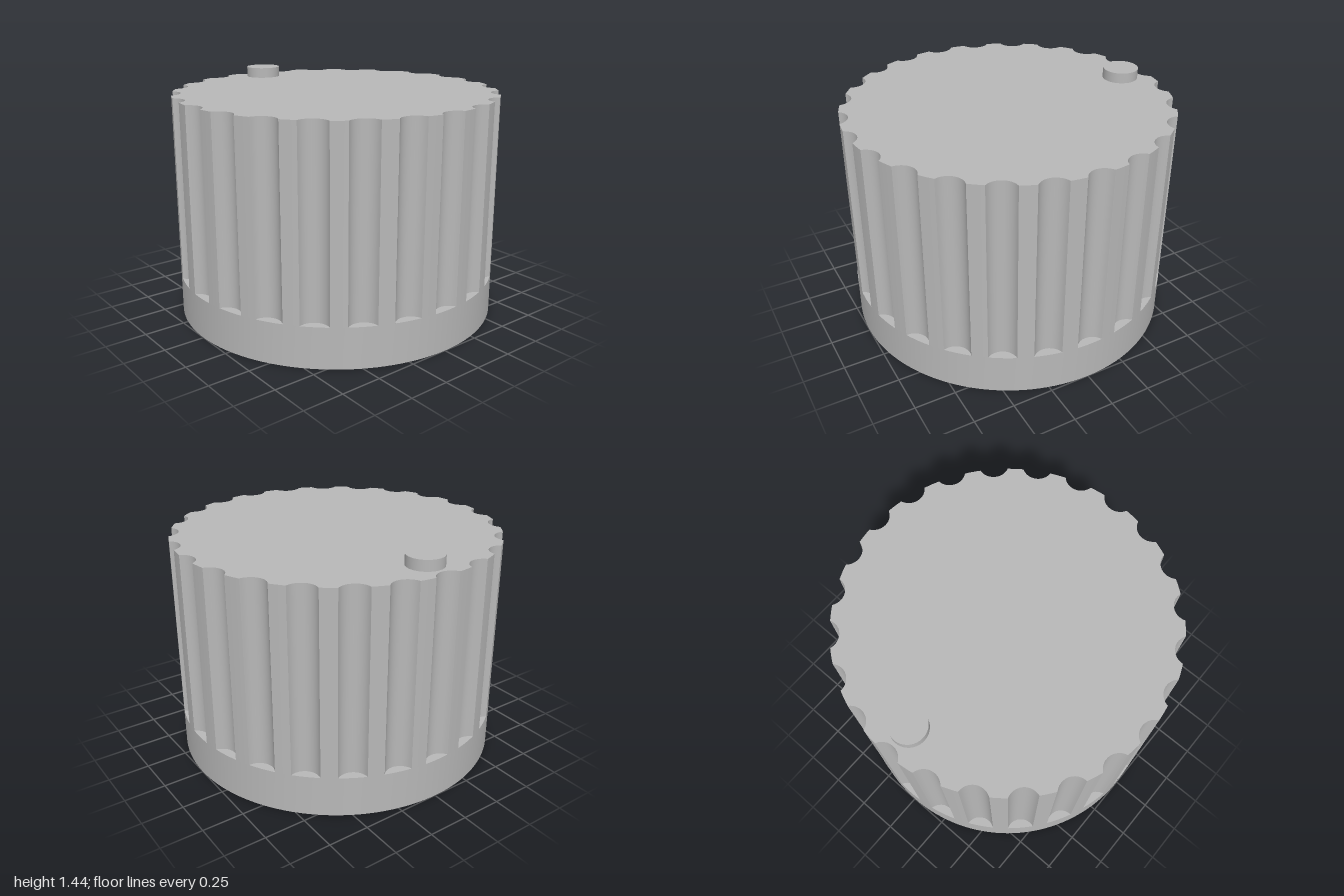
import * as THREE from 'three';
import { toCreasedNormals } from 'three/addons/utils/BufferGeometryUtils.js';

const FLUTES = 24, STEP = (Math.PI * 2) / FLUTES;
const BASE_Y = 0.25, TOP_Y = 1.375, BORE_Y = 1.0;
const CUT_C = 1.037, CUT_R = 0.092; // centre distance and radius of each flute cut
const HALF = Math.acos((1 + CUT_C * CUT_C - CUT_R * CUT_R) / (2 * CUT_C)); // half angle of a cut at the rim

// Points on an arc, from angle a to angle b, both ends included
function arc(r, a, b, n) {
  return Array.from({ length: n + 1 }, (_, i) => {
    const t = a + ((b - a) * i) / n;
    return new THREE.Vector2(Math.cos(t) * r, Math.sin(t) * r);
  });
}

// Concave arc of the flute at angle phi, running counterclockwise round the knob
function scoop(phi) {
  const alpha = Math.atan2(Math.sin(HALF), Math.cos(HALF) - CUT_C);
  const origin = new THREE.Vector2();
  return arc(CUT_R, Math.PI * 2 - alpha, alpha, 12).map((p) => {
    p.x += CUT_C;
    return p.rotateAround(origin, phi);
  });
}

// Upright wall along a closed outline; counterclockwise outlines face outwards
function wall(points, y0, y1) {
  const pos = [];
  points.forEach((a, i) => {
    const b = points[(i + 1) % points.length];
    pos.push(a.x, y0, -a.y, b.x, y0, -b.y, b.x, y1, -b.y);
    pos.push(a.x, y0, -a.y, b.x, y1, -b.y, a.x, y1, -a.y);
  });
  const geo = new THREE.BufferGeometry();
  geo.setAttribute('position', new THREE.Float32BufferAttribute(pos, 3));
  return toCreasedNormals(geo, 0.5);
}

// Flat face at height y, facing up or down
function face(points, y, up, hole) {
  const shape = new THREE.Shape(points);
  if (hole) shape.holes.push(new THREE.Path(hole));
  const geo = new THREE.ShapeGeometry(shape);
  geo.rotateX(up ? -Math.PI / 2 : Math.PI / 2);
  return geo.translate(0, y, 0);
}

export function createModel() {
  const group = new THREE.Group();
  const grey = new THREE.MeshStandardMaterial({ color: 0xb8b8b8 });
  grey.name = 'grey plastic';
  const add = (name, geo) => {
    const mesh = new THREE.Mesh(geo, grey);
    mesh.name = name;
    group.add(mesh);
    return mesh;
  };

  // Outlines: round base, fluted grip and D-shaped shaft bore
  const rim = arc(1, 0, Math.PI * 2, FLUTES * 6).slice(0, -1);
  const grip = [];
  for (let k = 0; k < FLUTES; k++) {
    const phi = k * STEP;
    grip.push(...scoop(phi), ...arc(1, phi + HALF, phi + STEP - HALF, 4).slice(1, -1));
  }
  const flat = Math.acos(0.19 / 0.383);
  const bore = arc(0.383, flat, Math.PI * 2 - flat, 48);

  // Base
  add('baseRim', wall(rim, 0, BASE_Y));
  add('baseUnderside', face(rim, 0, false, bore));

  // Grip
  add('flutedGrip', wall(grip, BASE_Y, TOP_Y));
  add('gripTop', face(grip, TOP_Y, true));

  // Ledge at the foot of each flute
  for (let k = 0; k < FLUTES; k++) {
    const phi = k * STEP;
    const outline = [...arc(1, phi - HALF, phi + HALF, 6), ...scoop(phi).reverse().slice(1, -1)];
    add('fluteLedge', face(outline, BASE_Y, true));
  }

  // Shaft bore
  add('boreWall', wall([...bore].reverse(), 0, BORE_Y));
  add('boreCeiling', face(bore, BORE_Y, false));

  // Pointer stud on top, near the back
  add('pointerStud', new THREE.CylinderGeometry(0.11, 0.11, 0.065, 48))
    .position.set(0, TOP_Y + 0.0325, -0.815);

  return group;
}
